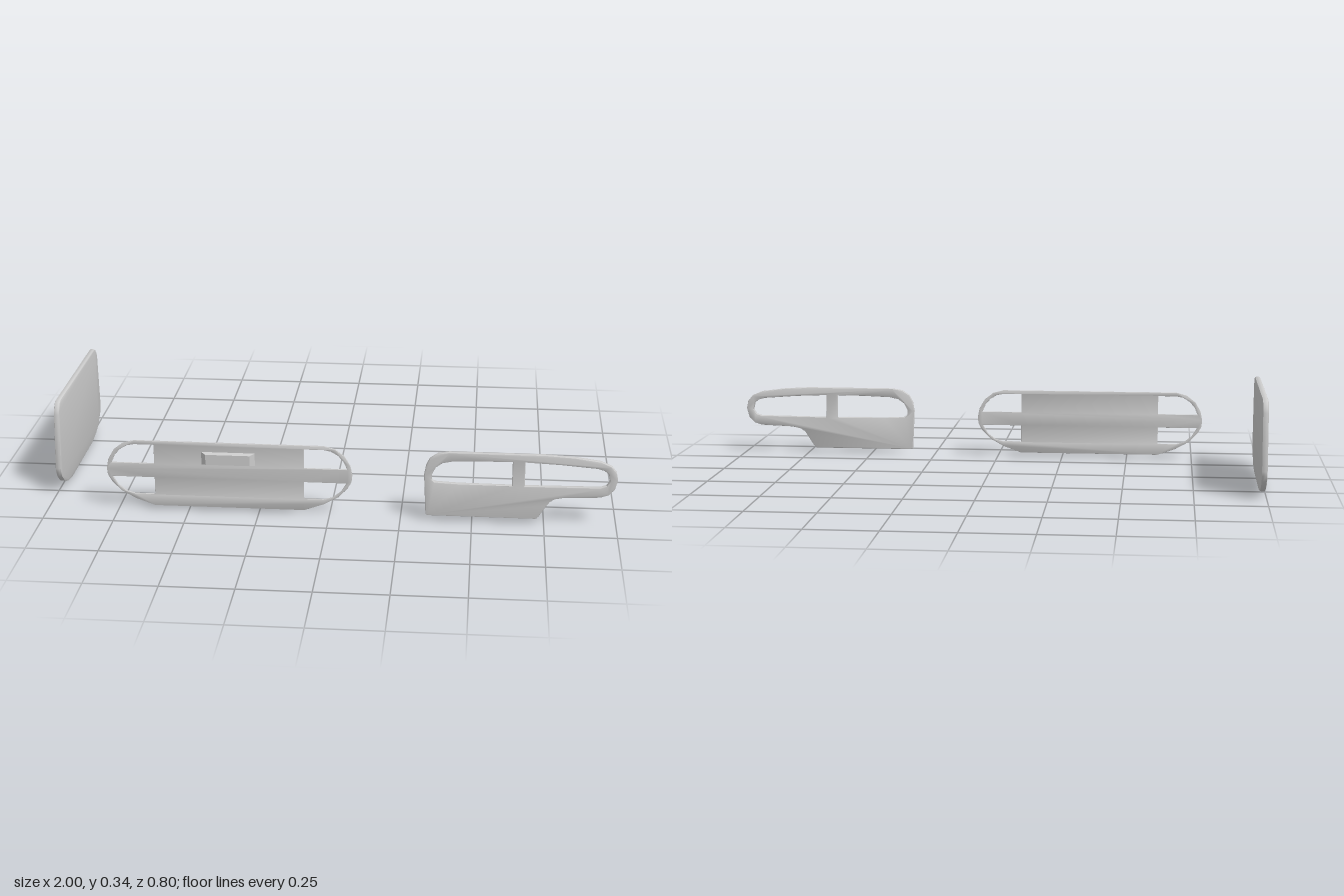
import * as THREE from 'three';
import { toCreasedNormals } from 'three/addons/utils/BufferGeometryUtils.js';

const material = new THREE.MeshStandardMaterial({ color: 0xcccccc });
const vectors = (pts) => pts.map(([x, y]) => new THREE.Vector2(x, y));

// Closes a half outline (listed bottom to top) by mirroring it about x = cx
const mirrored = (half, cx) => [
  ...half.map(([x, y]) => [cx + x, y]),
  ...half.slice().reverse().map(([x, y]) => [cx - x, y]),
];

// Flat plate from z0 to z1 with softened edges that stay inside the outline
function plate(outline, holes, z0, z1, bevel) {
  const shape = new THREE.Shape(vectors(outline));
  shape.holes = holes.map((h) => new THREE.Path(vectors(h)));
  const geometry = new THREE.ExtrudeGeometry(shape, {
    depth: z1 - z0 - 2 * bevel,
    bevelThickness: bevel,
    bevelSize: bevel,
    bevelOffset: -bevel,
    bevelSegments: 2,
  });
  geometry.translate(0, 0, z0 + bevel);
  return toCreasedNormals(geometry, 0.6);
}

function add(group, name, geometry) {
  const mesh = new THREE.Mesh(geometry, material);
  mesh.name = name;
  group.add(mesh);
}

export function createModel() {
  const group = new THREE.Group();
  group.name = 'panelSet';

  // Large side panel, standing across the x axis
  const sideHalf = [
    [0.175, 0], [0.243, 0.012], [0.293, 0.033], [0.328, 0.063], [0.339, 0.083], [0.343, 0.1],
    [0.325, 0.3], [0.321, 0.314], [0.311, 0.328], [0.3, 0.338], [0.286, 0.344],
  ];
  const side = plate(mirrored(sideHalf, 0.057), [], -1, -0.979, 0.006);
  add(group, 'sidePanel', side.rotateY(Math.PI / 2));

  // Long rounded plate with two windows at each end
  const cx = -0.355;
  const longHalf = [
    [0.265, 0.013], [0.335, 0.038], [0.385, 0.066], [0.418, 0.1], [0.432, 0.125], [0.435, 0.15],
    [0.428, 0.185], [0.408, 0.22], [0.375, 0.246], [0.335, 0.257],
  ];
  const upper = [
    [0.265, 0.172], [0.417, 0.172], [0.404, 0.202], [0.385, 0.223], [0.36, 0.238], [0.335, 0.243], [0.265, 0.243],
  ];
  const lower = [
    [0.265, 0.056], [0.335, 0.056], [0.365, 0.064], [0.395, 0.087], [0.415, 0.12], [0.265, 0.12],
  ];
  const windows = [upper, lower].flatMap((w) => [1, -1].map((s) => w.map(([x, y]) => [cx + s * x, y])));
  add(group, 'longPlate', plate(mirrored(longHalf, cx), windows, 0.374, 0.382, 0.0015));

  // Grip on the long plate: a block tapering toward the front
  const grip = new THREE.BoxGeometry(0.2, 0.05, 0.02);
  const p = grip.attributes.position;
  for (let i = 0; i < p.count; i++) {
    if (p.getZ(i) > 0) p.setXY(i, p.getX(i) * 0.78, p.getY(i) * 0.75);
  }
  grip.computeVertexNormals();
  grip.translate(cx - 0.002, 0.199, 0.387);
  add(group, 'grip', grip);

  // Stepped frame with two openings
  const frameOutline = [
    [0.345, 0.017], [0.722, 0.017], [0.731, 0.025], [0.757, 0.066], [0.768, 0.082], [0.785, 0.093], [0.818, 0.1],
    [0.94, 0.105], [0.97, 0.115], [0.99, 0.137], [0.999, 0.172], [0.993, 0.2], [0.975, 0.222], [0.938, 0.238],
    [0.85, 0.25], [0.75, 0.256], [0.417, 0.256], [0.378, 0.249], [0.35, 0.23], [0.337, 0.203], [0.331, 0.168],
    [0.338, 0.022],
  ];
  const openings = [
    [
      [0.636, 0.139], [0.636, 0.227], [0.53, 0.226], [0.428, 0.222], [0.395, 0.215], [0.371, 0.198],
      [0.359, 0.173], [0.358, 0.153], [0.368, 0.144], [0.45, 0.14],
    ],
    [
      [0.68, 0.139], [0.94, 0.142], [0.961, 0.149], [0.972, 0.167], [0.966, 0.193], [0.952, 0.205],
      [0.928, 0.212], [0.8, 0.222], [0.68, 0.227],
    ],
  ];
  add(group, 'steppedFrame', plate(frameOutline, openings, 0.381, 0.4, 0.004));

  return group;
}
